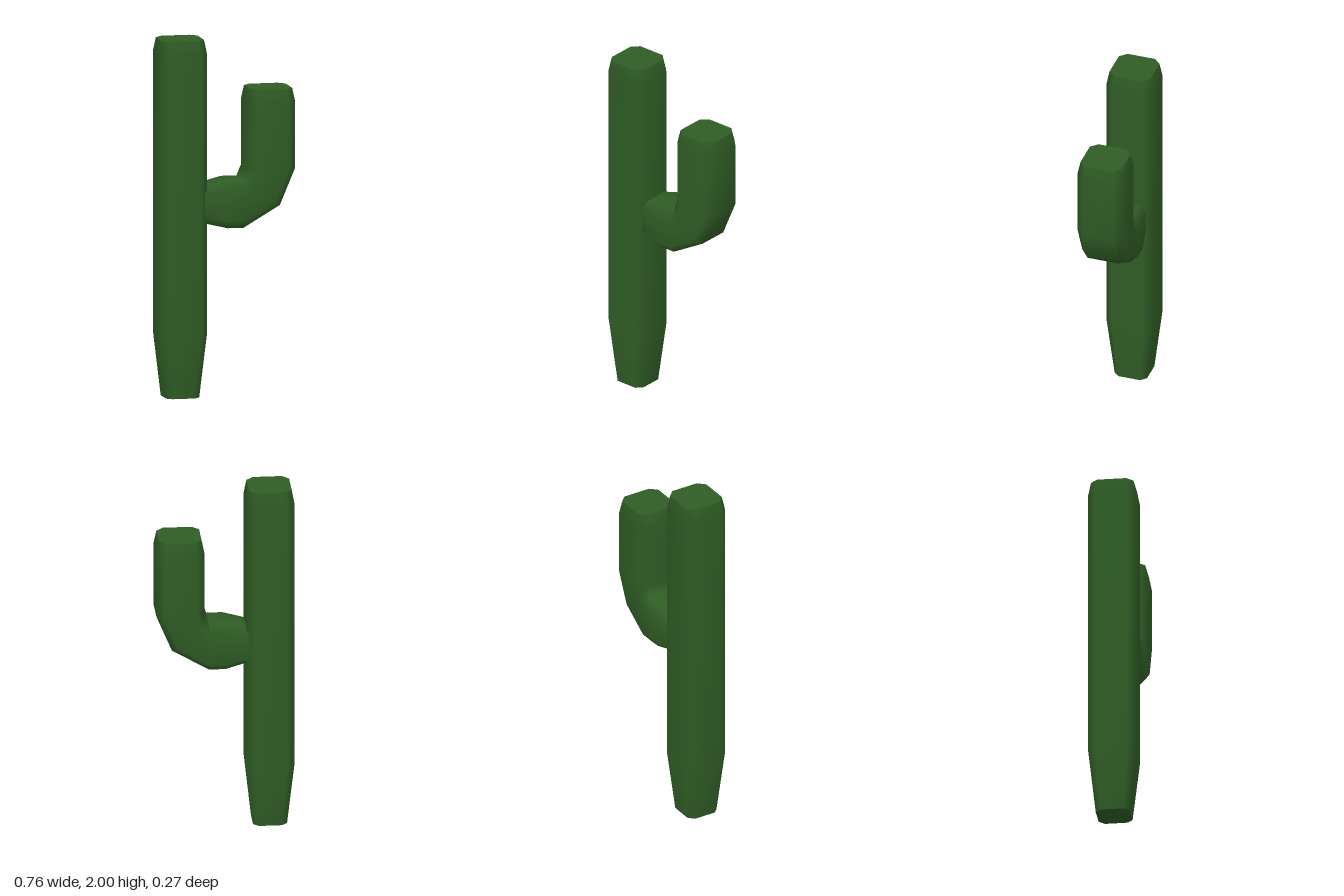
import * as THREE from 'three';

const R = 0.133; // half width of a stem
const C = 0.09;  // half width of its flat sides, before the corner cut
const OUTLINE = [[R, -C], [R, C], [C, R], [-C, R], [-R, C], [-R, -C], [-C, -R], [C, -R]];

// Each section is { x, y, angle, s }: centre, direction of its outer side in the xy plane, and scale.
function sectionPoints({ x, y, angle = 0, s = 1 }) {
  return OUTLINE.map(([a, b]) => [x + Math.cos(angle) * a * s, y + Math.sin(angle) * a * s, b * s]);
}

function geometryFrom(points, index) {
  const geometry = new THREE.BufferGeometry();
  geometry.setAttribute('position', new THREE.Float32BufferAttribute(points.flat(), 3));
  geometry.setIndex(index);
  geometry.computeVertexNormals();
  return geometry;
}

// Smooth sides lofted through the sections
function loft(sections) {
  const n = OUTLINE.length;
  const index = [];
  for (let i = 0; i < sections.length - 1; i++) {
    for (let j = 0; j < n; j++) {
      const a = i * n + j, b = i * n + (j + 1) % n;
      index.push(a, a + n, b, b, a + n, b + n);
    }
  }
  return geometryFrom(sections.flatMap(sectionPoints), index);
}

// Flat end
function cap(section, atEnd) {
  const index = [];
  for (let k = 1; k < OUTLINE.length - 1; k++) {
    index.push(0, ...(atEnd ? [k + 1, k] : [k, k + 1]));
  }
  return geometryFrom(sectionPoints(section), index);
}

function stem(name, sections, material) {
  const group = new THREE.Group();
  group.name = name;
  const add = (part, geometry) => {
    const mesh = new THREE.Mesh(geometry, material);
    mesh.name = name + part;
    group.add(mesh);
  };
  add('Sides', loft(sections));
  add('Base', cap(sections[0], false));
  add('Top', cap(sections[sections.length - 1], true));
  return group;
}

export function createModel() {
  const green = new THREE.MeshStandardMaterial({ color: 0x2f5c25 });
  green.name = 'cactusGreen';

  const model = new THREE.Group();
  model.name = 'cactus';

  // Upright trunk, narrowing to the ground
  model.add(stem('trunk', [
    { x: -0.25, y: 0, s: 0.71 },
    { x: -0.25, y: 0.36 },
    { x: -0.25, y: 1.92 },
    { x: -0.25, y: 2, s: 0.89 },
  ], green));

  // Side arm, growing out of the trunk and bending upward
  const down = -Math.PI / 2;
  model.add(stem('arm', [
    { x: -0.2, y: 1.077, angle: down, s: 0.66 },
    { x: 0, y: 1.077, angle: down },
    { x: 0.09, y: 1.077, angle: down },
    { x: 0.198, y: 1.15, angle: -0.72, s: 0.98 },
    { x: 0.249, y: 1.27 },
    { x: 0.249, y: 1.64 },
    { x: 0.249, y: 1.715, s: 0.89 },
  ], green));

  return model;
}
